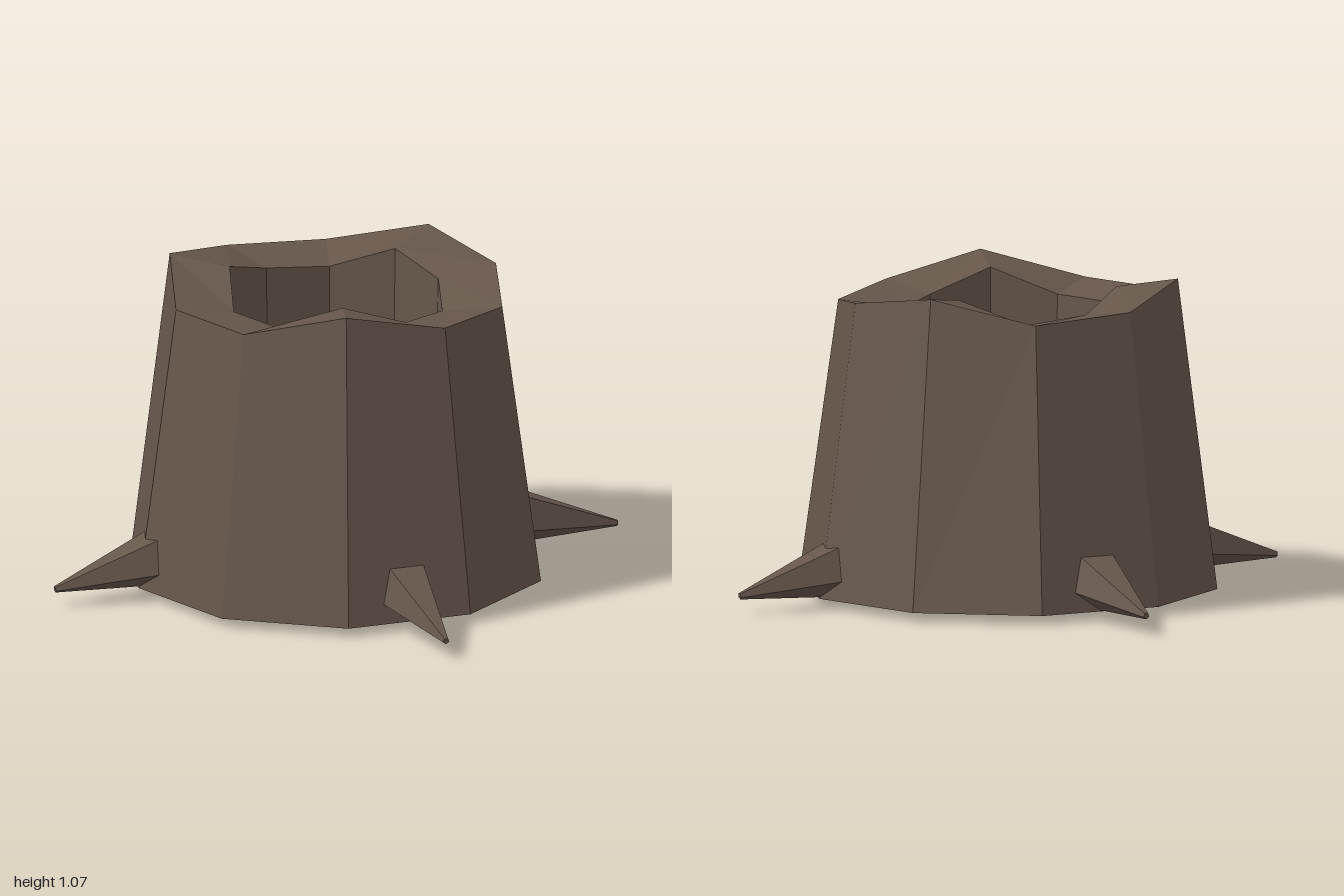
import * as THREE from 'three';

const SIDES = 10;

// Skin of the stump: outer wall, uneven rim, inner wall and hollow floor
function trunkGeometry() {
  // Uneven rim heights, starting at +x and turning towards +z
  const rim = [1.01, 0.97, 0.99, 1.065, 0.98, 0.98, 1.065, 1.0, 0.98, 1.06];
  const rings = [
    { r: 0.70, y: () => 0.03 },
    { r: 0.568, y: (i) => rim[i] },
    { r: 0.363, y: (i) => rim[i] - 0.03 },
    { r: 0.347, y: () => 0.26 },
    { r: 0, y: () => 0.26 },
  ];
  const positions = [];
  const index = [];
  rings.forEach(({ r, y }, k) => {
    for (let i = 0; i < SIDES; i++) {
      const a = (i / SIDES) * Math.PI * 2;
      positions.push(r * Math.cos(a), y(i), r * Math.sin(a));
      if (k === 0) continue;
      const j = (i + 1) % SIDES;
      const low = (k - 1) * SIDES;
      const high = k * SIDES;
      index.push(low + i, high + i, low + j);
      if (r > 0) index.push(high + i, high + j, low + j);
    }
  });
  const geometry = new THREE.BufferGeometry();
  geometry.setAttribute('position', new THREE.Float32BufferAttribute(positions, 3));
  geometry.setIndex(index);
  geometry.computeVertexNormals();
  return geometry;
}

// Long five-sided root, thick under the trunk and sloping down to its tip
function rootGeometry() {
  const geometry = new THREE.CylinderGeometry(0.011, 0.27, 1.086, 5);
  geometry.rotateX(Math.PI / 2 + 0.19);
  geometry.translate(0, 0.1625, 0.4645);
  return geometry;
}

export function createModel() {
  const bark = new THREE.MeshStandardMaterial({ color: 0x66564a });
  bark.name = 'bark';
  bark.flatShading = true;
  bark.side = THREE.DoubleSide; // the trunk is open underneath

  const model = new THREE.Group();
  model.name = 'hollowStump';

  const trunk = new THREE.Mesh(trunkGeometry(), bark);
  trunk.name = 'trunk';
  model.add(trunk);

  // Four roots crossing under the trunk
  const root = rootGeometry();
  ['frontRoot', 'leftRoot', 'backRoot', 'rightRoot'].forEach((name, i) => {
    const mesh = new THREE.Mesh(root, bark);
    mesh.name = name;
    mesh.rotation.y = (i * Math.PI) / 2;
    model.add(mesh);
  });

  return model;
}
